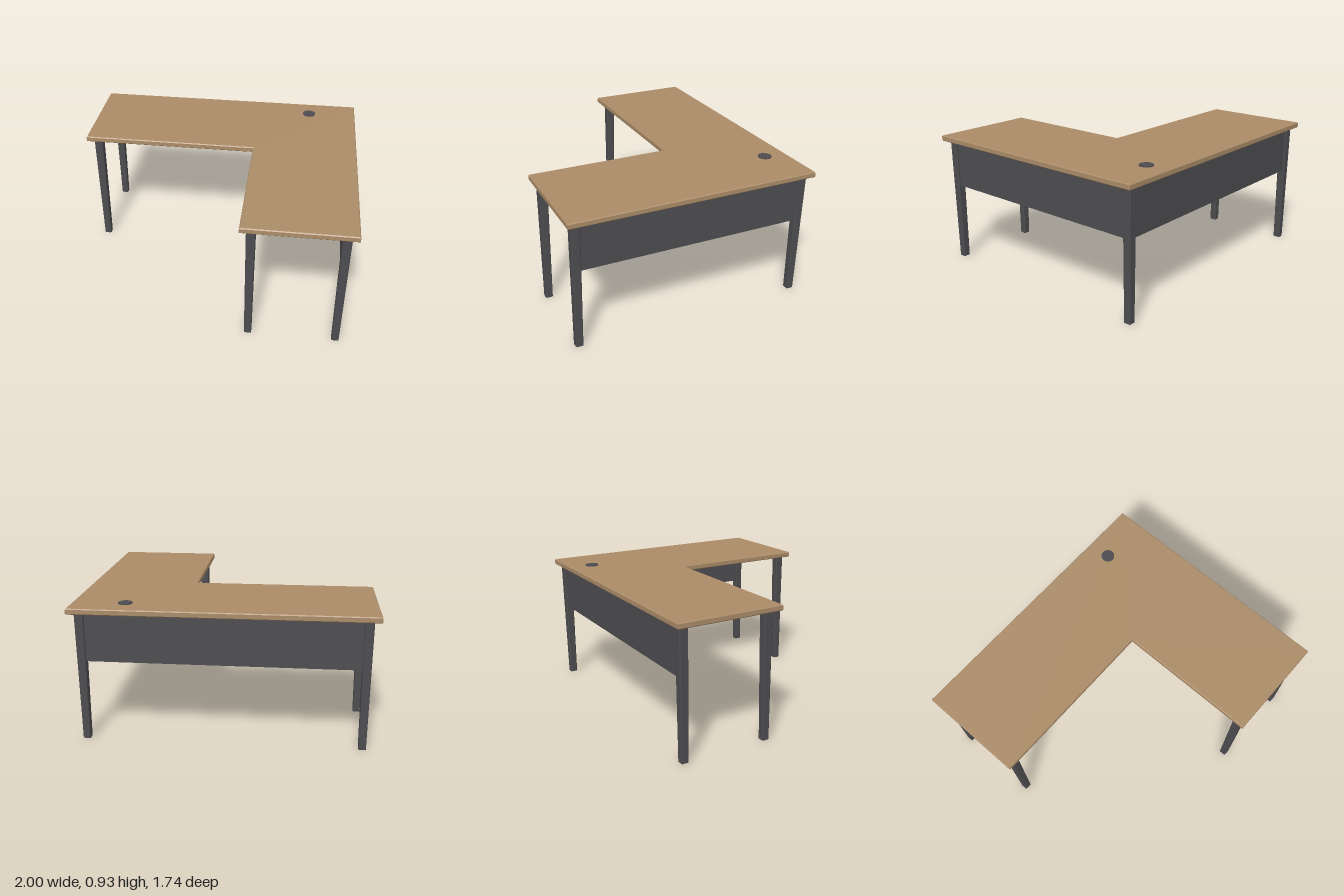
import * as THREE from 'three';

const wood = new THREE.MeshStandardMaterial({ color: 0xab8c68 });
wood.name = 'wood';
const darkMetal = new THREE.MeshStandardMaterial({ color: 0x4d4d51 });
darkMetal.name = 'darkMetal';

function addMesh(group, name, geometry, material, x = 0, y = 0, z = 0) {
  const mesh = new THREE.Mesh(geometry, material);
  mesh.name = name;
  mesh.position.set(x, y, z);
  group.add(mesh);
}

// Extrudes an outline of [x, z] points upwards from y = 0
function extrudeUp(points, options) {
  const shape = new THREE.Shape(points.map(([x, z]) => new THREE.Vector2(x, -z)));
  return new THREE.ExtrudeGeometry(shape, options).rotateX(-Math.PI / 2);
}

// Square leg with chamfered corners, narrowing towards the floor
function legGeometry(height, topHalf, bottomHalf) {
  const c = 0.8; // flat share of each side
  const outline = [[1, c], [1, -c], [c, -1], [-c, -1], [-1, -c], [-1, c], [-c, 1], [c, 1]];
  const geometry = extrudeUp(outline, { depth: height, bevelEnabled: false });
  const pos = geometry.attributes.position;
  for (let i = 0; i < pos.count; i++) {
    const half = THREE.MathUtils.lerp(bottomHalf, topHalf, pos.getY(i) / height);
    pos.setX(i, pos.getX(i) * half);
    pos.setZ(i, pos.getZ(i) * half);
  }
  geometry.computeVertexNormals();
  return geometry;
}

export function createModel() {
  const desk = new THREE.Group();
  desk.name = 'cornerDesk';

  // L-shaped top with a fine edge bevel
  const bevel = 0.006;
  const outline = [[-1, -0.87], [-1, -0.125], [0.25, -0.125], [0.25, 0.87], [1, 0.87], [1, -0.87]];
  const top = extrudeUp(outline, {
    depth: 0.04 - 2 * bevel, bevelEnabled: true, bevelSegments: 1,
    bevelSize: bevel, bevelThickness: bevel, bevelOffset: -bevel,
  });
  addMesh(desk, 'desktop', top, wood, 0, 0.885 + bevel, 0);

  // Five tapered legs
  const leg = legGeometry(0.886, 0.031, 0.025);
  const feet = [[-0.925, -0.805], [0.925, -0.805], [-0.925, -0.2], [0.322, 0.805], [0.925, 0.805]];
  feet.forEach(([x, z], i) => addMesh(desk, `leg${i + 1}`, leg, darkMetal, x, 0, z));

  // Modesty panels between the outer legs
  const panelY = 0.7125, panelHeight = 0.315, thickness = 0.03;
  addMesh(desk, 'backPanel', new THREE.BoxGeometry(1.8, panelHeight, thickness), darkMetal, 0, panelY, -0.805);
  addMesh(desk, 'sidePanel', new THREE.BoxGeometry(thickness, panelHeight, 1.56), darkMetal, 0.925, panelY, 0);

  // Cable grommet
  addMesh(desk, 'cableGrommet', new THREE.CylinderGeometry(0.047, 0.047, 0.012, 16), darkMetal, 0.645, 0.926, -0.705);

  return desk;
}
